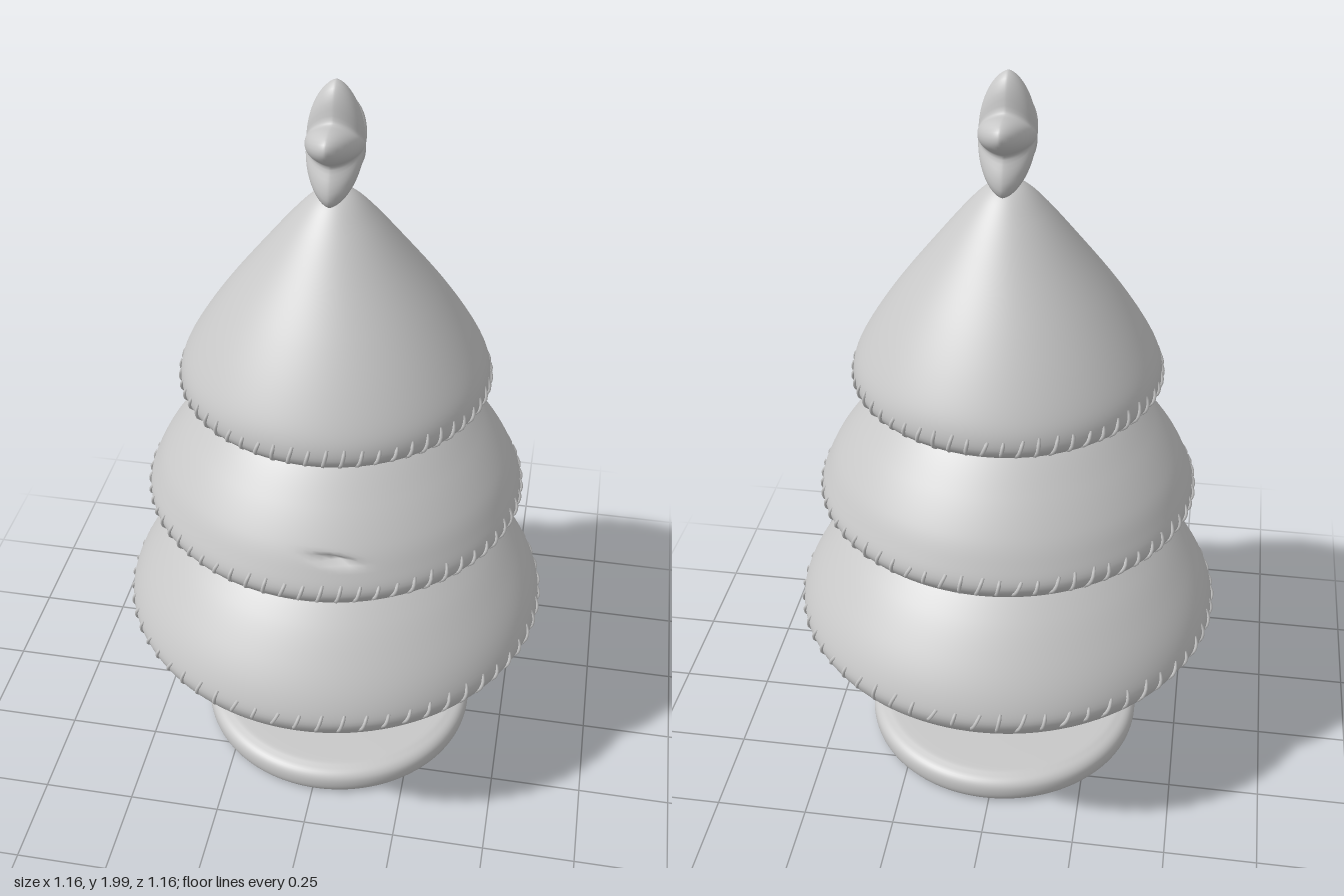
import * as THREE from 'three';
import { mergeGeometries, mergeVertices } from 'three/addons/utils/BufferGeometryUtils.js';

const grey = new THREE.MeshStandardMaterial({ color: 0xc8c8c8 });

// Weld seams and recompute smooth normals
function smooth(geo) {
  geo.deleteAttribute('uv');
  geo.deleteAttribute('normal');
  const welded = mergeVertices(geo, 1e-5);
  welded.computeVertexNormals();
  return welded;
}

function part(name, geo, x = 0, y = 0, z = 0) {
  const mesh = new THREE.Mesh(geo, grey);
  mesh.name = name;
  mesh.position.set(x, y, z);
  return mesh;
}

// Outline of [radius, height] pairs, curved, with a flat closed underside
function outline(pairs, samples = 80) {
  const curve = new THREE.SplineCurve(pairs.map(([r, y]) => new THREE.Vector2(r, y)));
  const pts = curve.getSpacedPoints(samples);
  pts.forEach((p) => { p.x = Math.max(p.x, 0); });
  return pts;
}

function turned(pts) {
  const { x, y } = pts[0];
  const floor = [new THREE.Vector2(0, y), new THREE.Vector2(x - 0.01, y)];
  return new THREE.LatheGeometry([...floor, ...pts], 128);
}

function radiusAt(pts, y) {
  const i = Math.max(1, pts.findIndex((p) => p.y >= y));
  const a = pts[i - 1], b = pts[i];
  return a.x + (b.x - a.x) * (y - a.y) / (b.y - a.y);
}

// Ring of slanted stitches lying on the rim
function stitches(pts, mid, count) {
  const list = [];
  for (let i = 0; i < count; i++) {
    const angle = (i / count) * Math.PI * 2;
    const half = 0.026 + 0.005 * Math.sin(i * 7.3);
    const path = [-1, -0.4, 0.3, 1].map((k) => {
      const y = mid + k * half;
      const r = radiusAt(pts, y) + (Math.abs(k) === 1 ? -0.003 : 0.002);
      const a = angle + k * (0.016 + 0.006 * Math.sin(i * 3.1));
      return new THREE.Vector3(Math.sin(a) * r, y, Math.cos(a) * r);
    });
    list.push(new THREE.TubeGeometry(new THREE.CatmullRomCurve3(path), 6, 0.005, 6));
  }
  return mergeGeometries(list);
}

// Small crease pressed into the front of the middle tier
function crease(geo) {
  const pos = geo.attributes.position;
  for (let i = 0; i < pos.count; i++) {
    const x = pos.getX(i), y = pos.getY(i), z = pos.getZ(i);
    if (z < 0) continue;
    const u = (x - 0.08) / 0.045, v = (y - 0.952 + (x - 0.08) * 0.12) / 0.009;
    pos.setZ(i, z - 0.022 * Math.exp(-u * u - v * v));
  }
  return geo;
}

// Puffy five-pointed star facing sideways
function starGeometry() {
  const geo = new THREE.SphereGeometry(1, 80, 40);
  geo.rotateZ(Math.PI / 2);
  const pos = geo.attributes.position;
  for (let i = 0; i < pos.count; i++) {
    const x = pos.getX(i), y = pos.getY(i), z = pos.getZ(i);
    const edge = 0.12 + 0.035 * Math.cos(5 * Math.atan2(z, y));
    pos.setXYZ(i, 0.07 * Math.sign(x) * Math.abs(x) ** 1.25, y * edge, z * edge);
  }
  return smooth(geo);
}

export function createModel() {
  const tree = new THREE.Group();
  tree.name = 'tree';

  // Base disc and trunk
  const base = outline([[0.36, 0.006], [0.382, 0.015], [0.39, 0.04], [0.385, 0.068], [0.36, 0.084], [0.3, 0.09], [0, 0.092]]);
  tree.add(part('base', smooth(turned(base)), 0.01));
  const trunk = outline([[0.178, 0.08], [0.181, 0.11], [0.177, 0.18], [0.165, 0.3], [0.157, 0.43]], 24);
  tree.add(part('trunk', smooth(turned(trunk)), 0.006));

  // Foliage tiers with stitched rims
  const tiers = [
    { name: 'bottomTier', mid: 0.487, count: 62, profile: [[0.52, 0.42], [0.548, 0.432], [0.57, 0.465], [0.574, 0.5],
      [0.55, 0.56], [0.505, 0.63], [0.44, 0.71], [0.36, 0.785], [0.28, 0.83], [0, 0.84]] },
    { name: 'middleTier', mid: 0.865, count: 66, profile: [[0.415, 0.795], [0.455, 0.81], [0.488, 0.84], [0.499, 0.872],
      [0.482, 0.92], [0.45, 0.98], [0.39, 1.06], [0.31, 1.145], [0.24, 1.185], [0, 1.19]] },
    { name: 'topTier', mid: 1.207, count: 58, profile: [[0.305, 1.147], [0.35, 1.158], [0.388, 1.185], [0.398, 1.215],
      [0.385, 1.265], [0.34, 1.345], [0.275, 1.44], [0.19, 1.55], [0.105, 1.655], [0.05, 1.71], [0, 1.732]] },
  ];
  for (const { name, mid, count, profile } of tiers) {
    const pts = outline(profile);
    const geo = turned(pts);
    if (name === 'middleTier') crease(geo);
    tree.add(part(name, smooth(geo)));
    tree.add(part(name + 'Stitches', stitches(pts, mid, count)));
  }

  // Star on the tip
  tree.add(part('star', starGeometry(), 0, 1.845, 0));
  return tree;
}
